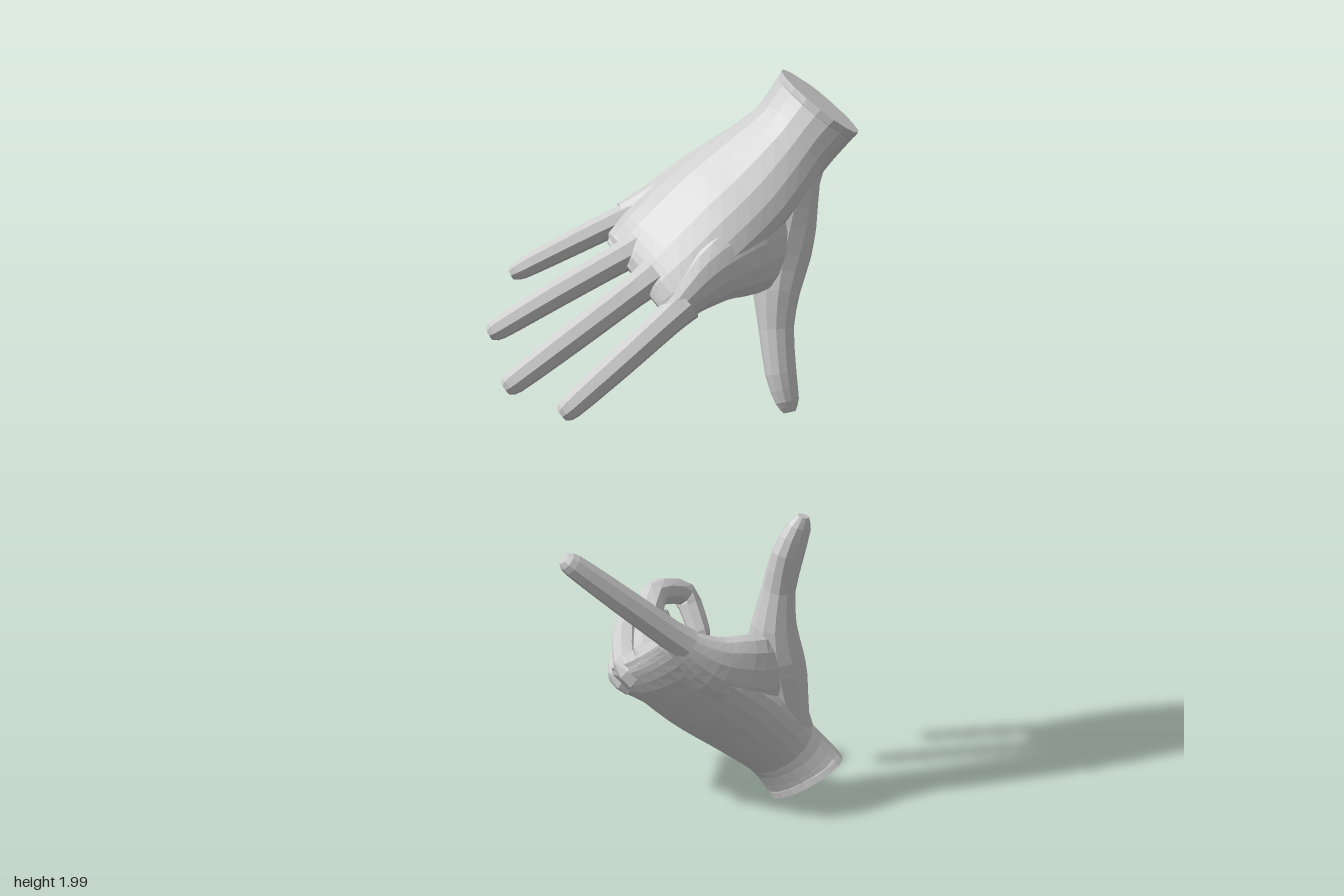
import * as THREE from 'three';

const material = new THREE.MeshStandardMaterial({ color: 0xcccccc, flatShading: true, side: THREE.DoubleSide });
const vec = (p) => new THREE.Vector3(p[0], p[1], p[2]);

// Closed skin through stations [x, y, z, halfWidth, halfThickness];
// the width direction turns from wideA to wideB along the way.
function loft(name, stations, wideA, wideB, sides, perSpan) {
  const path = new THREE.CatmullRomCurve3(stations.map(vec), false, 'catmullrom', 0.38);
  const size = new THREE.CatmullRomCurve3(
    stations.map((s) => new THREE.Vector3(s[3], s[4], 0)), false, 'catmullrom', 0.38);
  const rings = (stations.length - 1) * perSpan;
  const pos = [], index = [];
  for (let i = 0; i <= rings; i++) {
    const t = i / rings;
    const c = path.getPoint(t), r = size.getPoint(t), T = path.getTangent(t);
    const W = vec(wideA).lerp(vec(wideB), Math.min(1, t * 1.5));
    W.addScaledVector(T, -W.dot(T)).normalize();
    const V = T.clone().cross(W);
    for (let j = 0; j < sides; j++) {
      const a = (j / sides) * Math.PI * 2;
      const p = c.clone().addScaledVector(W, Math.cos(a) * r.x).addScaledVector(V, Math.sin(a) * r.y);
      pos.push(p.x, p.y, p.z);
      if (i < rings) {
        const k = (j + 1) % sides, n = i * sides;
        index.push(n + j, n + k, n + sides + j, n + k, n + sides + k, n + sides + j);
      }
    }
  }
  // end caps
  const last = rings * sides;
  for (let j = 1; j < sides - 1; j++) index.push(0, j + 1, j, last, last + j, last + j + 1);
  const geo = new THREE.BufferGeometry();
  geo.setAttribute('position', new THREE.Float32BufferAttribute(pos, 3));
  geo.setIndex(index);
  geo.computeVertexNormals();
  const mesh = new THREE.Mesh(geo, material);
  mesh.name = name;
  return mesh;
}

// Tapering finger stations along a list of joints, rounded at the tip
function fingerStations(joints, r) {
  const n = joints.length - 1;
  const out = joints.slice(0, n).map((p, i) => {
    const s = r * (i === 0 ? 1.25 : 1.18 - 0.28 * (i / n));
    return [...p, s, s];
  });
  const tip = vec(joints[n]), prev = vec(joints[n - 1]);
  const back = tip.clone().addScaledVector(prev.sub(tip).normalize(), 0.03);
  out.push([back.x, back.y, back.z, r * 0.82, r * 0.82], [...joints[n], r * 0.45, r * 0.45]);
  return out;
}

// All hands are described in the upper position; the lower one is flipped about y = 1
const palm = [
  [0.268, 1.922, -0.285, 0.134, 0.094],
  [0.25, 1.895, -0.278, 0.13, 0.092],
  [0.208, 1.825, -0.237, 0.125, 0.09],
  [0.141, 1.73, -0.148, 0.155, 0.086],
  [0.077, 1.647, -0.056, 0.168, 0.077],
  [0.008, 1.558, 0.036, 0.168, 0.056],
  [-0.03, 1.515, 0.075, 0.158, 0.038],
  [-0.044, 1.502, 0.09, 0.135, 0.018],
];
const wristWide = [0.81, -0.56, 0.22], palmWide = [0.72, -0.6, 0.35];

// Fleshy heel on the little finger side
const heel = [
  [0.15, 1.845, -0.25, 0.05, 0.05],
  [0.108, 1.815, -0.232, 0.06, 0.058],
  [0.055, 1.775, -0.205, 0.067, 0.065],
  [-0.015, 1.72, -0.145, 0.064, 0.064],
  [-0.085, 1.667, -0.075, 0.052, 0.05],
  [-0.145, 1.63, -0.015, 0.038, 0.038],
];

// Muscle filling the space between thumb and index finger
const web = [
  [0.22, 1.59, -0.17, 0.11, 0.05],
  [0.2, 1.567, -0.09, 0.112, 0.055],
  [0.152, 1.53, 0.0, 0.088, 0.054],
  [0.11, 1.478, 0.062, 0.058, 0.045],
  [0.08, 1.43, 0.105, 0.036, 0.034],
];

const radius = { index: 0.037, middle: 0.037, ring: 0.035, little: 0.032 };

// Root of the thumb, broadened toward the palm
const thumbBase = [
  [0.255, 1.835, -0.262, 0.06, 0.07],
  [0.233, 1.74, -0.214, 0.074, 0.07],
  [0.214, 1.62, -0.202, 0.088, 0.08],
  [0.212, 1.54, -0.188, 0.082, 0.078],
];

// Joint positions from knuckle to tip
const openPose = {
  index: [[0.1, 1.45, 0.08], [0.07, 1.41, 0.12], [-0.01, 1.31, 0.21], [-0.115, 1.185, 0.315]],
  middle: [[0.015, 1.515, 0.08], [-0.03, 1.47, 0.125], [-0.13, 1.365, 0.245], [-0.25, 1.245, 0.365]],
  ring: [[-0.055, 1.572, 0.04], [-0.10, 1.54, 0.085], [-0.22, 1.455, 0.185], [-0.352, 1.357, 0.29]],
  little: [[-0.125, 1.635, -0.025], [-0.17, 1.612, 0.01], [-0.265, 1.555, 0.08], [-0.375, 1.487, 0.162]],
  thumb: [
    ...thumbBase, [0.222, 1.45, -0.158, 0.06, 0.06],
    [0.232, 1.36, -0.142, 0.044, 0.048],
    [0.254, 1.25, -0.13, 0.038, 0.046], [0.275, 1.18, -0.128, 0.028, 0.038],
    [0.284, 1.152, -0.125, 0.014, 0.02],
  ],
};

const pointingPose = {
  index: [[0.1, 1.45, 0.08], [0.07, 1.41, 0.12], [-0.01, 1.31, 0.21], [-0.112, 1.185, 0.32]],
  middle: [[0.005, 1.535, 0.06], [-0.028, 1.5, 0.06], [-0.102, 1.405, -0.082], [-0.085, 1.435, -0.212],
    [-0.01, 1.555, -0.195]],
  ring: [[-0.06, 1.59, 0.045], [-0.1, 1.555, 0.05], [-0.18, 1.502, -0.075], [-0.178, 1.532, -0.232],
    [-0.11, 1.66, -0.205]],
  little: [[-0.125, 1.64, -0.02], [-0.158, 1.618, -0.005], [-0.21, 1.597, -0.1], [-0.22, 1.63, -0.24],
    [-0.187, 1.74, -0.21]],
  thumb: [
    ...thumbBase, [0.218, 1.45, -0.178, 0.06, 0.064],
    [0.231, 1.35, -0.178, 0.045, 0.046],
    [0.252, 1.25, -0.188, 0.04, 0.055], [0.275, 1.175, -0.205, 0.029, 0.042],
    [0.284, 1.148, -0.21, 0.014, 0.022],
  ],
};

function makeHand(name, pose, flipped) {
  const hand = new THREE.Group();
  hand.name = name;
  const place = (list) => list.map((p) => (flipped ? [p[0], 2 - p[1], ...p.slice(2)] : p));
  const turn = (d) => (flipped ? [d[0], -d[1], d[2]] : d);

  hand.add(loft('palmAndWrist', place(palm), turn(wristWide), turn(palmWide), 18, 3));
  hand.add(loft('palmHeel', place(heel), [1, 0, 0], [1, 0, 0], 12, 2));
  hand.add(loft('thumb', place(pose.thumb), [0.96, 0, -0.27], [1, 0, 0], 12, 2));
  hand.add(loft('thumbWeb', place(web), [0, 1, 0], [0, 1, 0], 14, 3));
  for (const key of Object.keys(radius)) {
    const stations = fingerStations(pose[key], radius[key]);
    hand.add(loft(key + 'Finger', place(stations), turn(palmWide), turn(palmWide), 8, 3));
  }
  return hand;
}

export function createModel() {
  const model = new THREE.Group();
  model.name = 'pairOfHands';
  model.add(makeHand('openHand', openPose, false));
  model.add(makeHand('pointingHand', pointingPose, true));
  return model;
}
